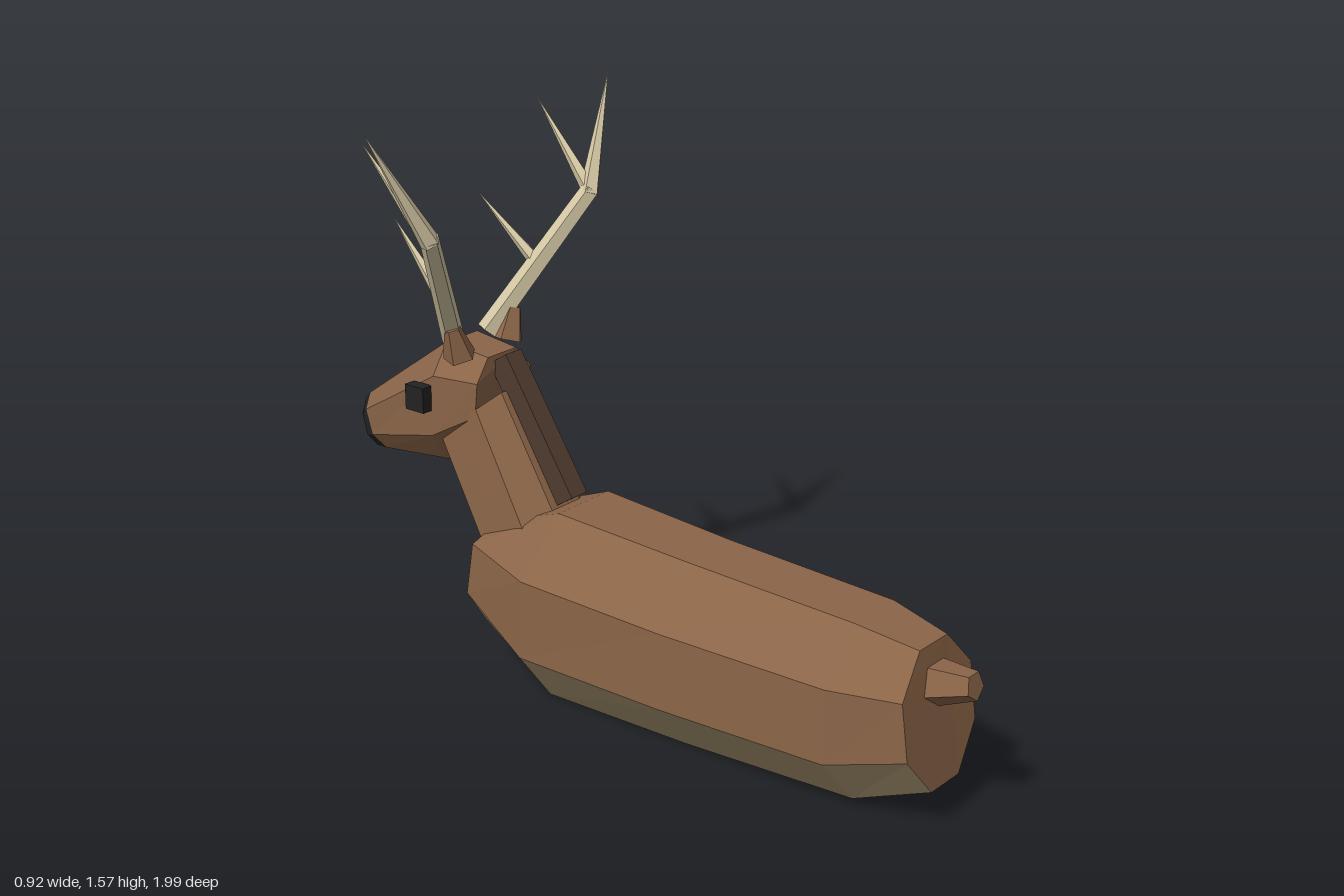
import * as THREE from 'three';

const mat = (color) => new THREE.MeshStandardMaterial({ color, flatShading: true });

// Octagonal loft. Section: [topHalf, half, bottomHalf, [z, y] of top, upper, lower, bottom edge].
// Faces 0..7 run clockwise from the upper diagonal; those in underFaces form a second mesh.
function loft(name, sections, main, under, underFaces = [], parent) {
  const rings = sections.map(([wt, w, wb, ...zy]) => {
    const widths = [wt, w, w, wb];
    const side = (s) => zy.map(([z, y], i) => [s * widths[i], y, z]);
    return [...side(1), ...side(-1).reverse()];
  });
  const upperPos = [], lowerPos = [];
  for (let r = 0; r < rings.length - 1; r++) {
    const p = rings[r], q = rings[r + 1];
    for (let k = 0; k < 8; k++) {
      const n = (k + 1) % 8;
      const out = underFaces.includes(k) ? lowerPos : upperPos;
      out.push(...p[k], ...p[n], ...q[k], ...p[n], ...q[n], ...q[k]);
    }
  }
  // end caps
  const a = rings[0], b = rings[rings.length - 1];
  for (let i = 1; i < 7; i++) {
    upperPos.push(...a[0], ...a[i + 1], ...a[i], ...b[0], ...b[i], ...b[i + 1]);
  }
  const add = (pos, material, label) => {
    if (!pos.length) return;
    const g = new THREE.BufferGeometry();
    g.setAttribute('position', new THREE.Float32BufferAttribute(pos, 3));
    g.computeVertexNormals();
    const m = new THREE.Mesh(g, material);
    m.name = label;
    parent.add(m);
  };
  add(upperPos, main, name);
  add(lowerPos, under, name + 'Underside');
}

// Tapered five-sided rod between two points
function rod(name, from, to, r0, r1, material, parent) {
  const a = new THREE.Vector3(...from), b = new THREE.Vector3(...to);
  const d = b.clone().sub(a);
  const g = r1 > 0
    ? new THREE.CylinderGeometry(r1, r0, d.length(), 5)
    : new THREE.ConeGeometry(r0, d.length(), 5);
  const m = new THREE.Mesh(g, material);
  m.position.copy(a).add(b).multiplyScalar(0.5);
  m.quaternion.setFromUnitVectors(new THREE.Vector3(0, 1, 0), d.normalize());
  m.name = name;
  parent.add(m);
}

function box(name, size, pos, material, parent) {
  const m = new THREE.Mesh(new THREE.BoxGeometry(...size), material);
  m.position.set(...pos);
  m.name = name;
  parent.add(m);
  return m;
}

export function createModel() {
  const deer = new THREE.Group();
  deer.name = 'deer';
  const fur = mat(0x8b6548), belly = mat(0xa8946f), dark = mat(0x4f3b2f);
  const black = mat(0x222222), horn = mat(0xd2c5a2);
  const underside = [2, 3, 4];

  // Body, rump to chest
  loft('body', [
    [0.06, 0.15, 0.06, [0.87, 0.46], [0.885, 0.36], [0.905, 0.21], [0.92, 0.1]],
    [0.085, 0.205, 0.085, [0.7, 0.49], [0.7, 0.36], [0.7, 0.16], [0.71, 0.02]],
    [0.09, 0.215, 0.09, [0.2, 0.51], [0.2, 0.36], [0.2, 0.15], [0.2, 0]],
    [0.1, 0.23, 0.1, [-0.22, 0.535], [-0.24, 0.38], [-0.25, 0.16], [-0.26, 0]],
    [0.07, 0.16, 0.07, [-0.45, 0.45], [-0.475, 0.4], [-0.5, 0.25], [-0.525, 0.14]],
  ], fur, belly, underside, deer);

  // Neck, shoulder to skull
  loft('neck', [
    [0.055, 0.13, 0.06, [-0.27, 0.49], [-0.32, 0.47], [-0.43, 0.33], [-0.49, 0.28]],
    [0.05, 0.108, 0.055, [-0.46, 0.8], [-0.5, 0.76], [-0.63, 0.66], [-0.65, 0.59]],
  ], fur, belly, underside, deer);

  // Head and nose
  const snout = [0.03, 0.06, 0.03, [-0.973, 0.68], [-0.962, 0.64], [-0.94, 0.57], [-0.917, 0.528]];
  loft('head', [
    [0.055, 0.105, 0.055, [-0.5, 0.89], [-0.495, 0.83], [-0.505, 0.735], [-0.52, 0.69]],
    [0.06, 0.13, 0.06, [-0.645, 0.905], [-0.63, 0.83], [-0.64, 0.66], [-0.65, 0.57]],
    snout,
  ], fur, fur, [], deer);
  loft('nose', [
    snout,
    [0.025, 0.05, 0.025, [-0.997, 0.655], [-0.988, 0.62], [-0.972, 0.56], [-0.96, 0.525]],
  ], black, black, [], deer);

  // Mane along the back of the neck
  const mane = box('mane', [0.06, 0.416, 0.07], [0, 0.707, -0.377], dark, deer);
  mane.rotation.x = -0.571;

  // Tail
  rod('tail', [0, 0.355, 0.86], [0, 0.382, 0.99], 0.066, 0.037, fur, deer);

  // Eyes, ears and antlers, mirrored
  for (const s of [1, -1]) {
    const side = s > 0 ? 'left' : 'right';
    box(side + 'Eye', [0.035, 0.07, 0.065], [s * 0.143, 0.765, -0.673], black, deer);
    rod(side + 'Ear', [s * 0.092, 0.89, -0.565], [s * 0.12, 0.975, -0.565], 0.045, 0.022, fur, deer);

    const antler = new THREE.Group();
    antler.name = side + 'Antler';
    const at = (x, y, z) => [s * x, y, z];
    rod('beam', at(0.065, 0.91, -0.61), at(0.31, 1.28, -0.45), 0.032, 0.026, horn, antler);
    rod('tip', at(0.302, 1.265, -0.452), at(0.46, 1.567, -0.515), 0.028, 0, horn, antler);
    rod('upperTine', at(0.31, 1.275, -0.455), at(0.33, 1.5, -0.66), 0.022, 0, horn, antler);
    rod('lowerTine', at(0.185, 1.09, -0.54), at(0.16, 1.26, -0.727), 0.02, 0, horn, antler);
    deer.add(antler);
  }
  return deer;
}
